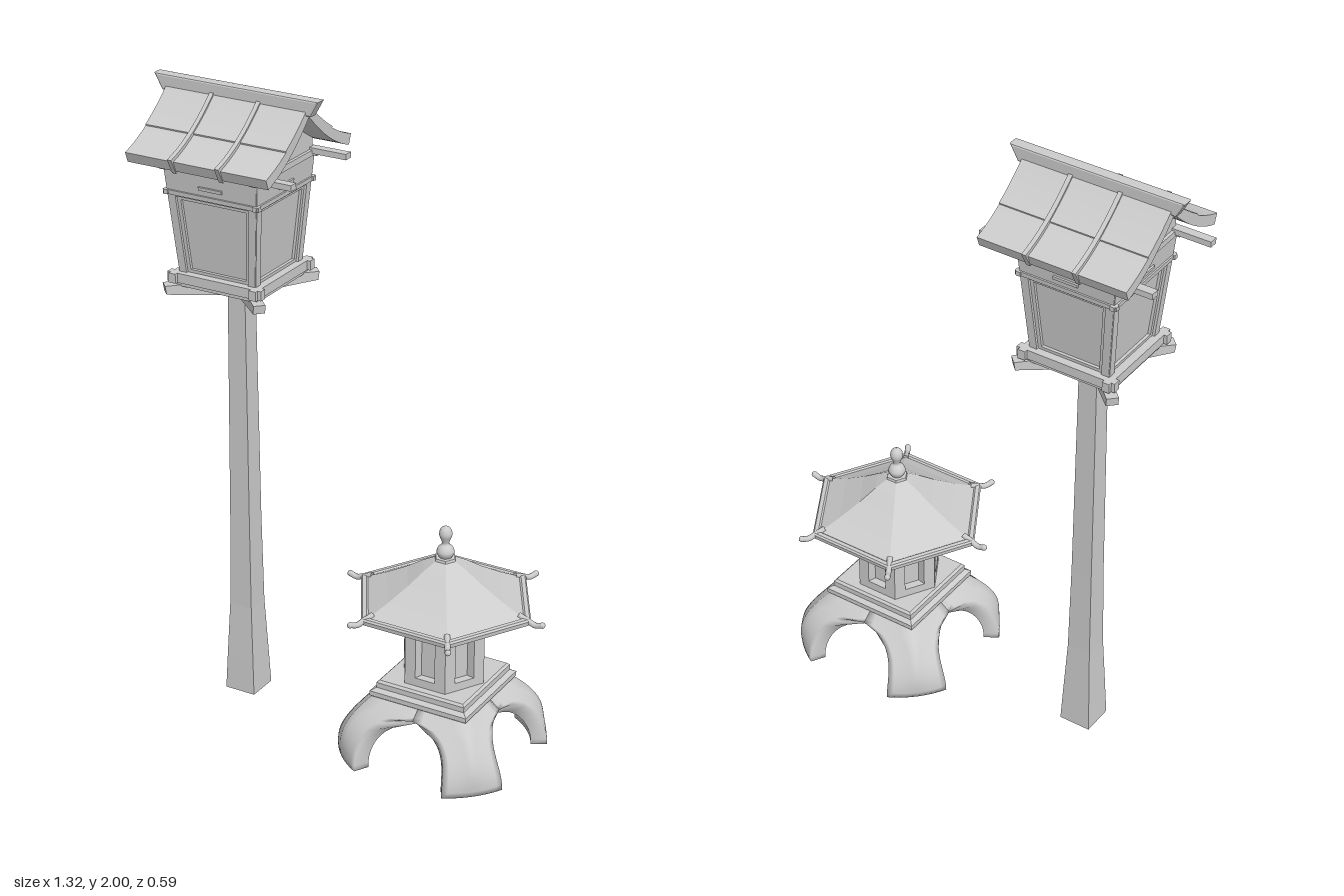
import * as THREE from 'three';

const flat = new THREE.MeshStandardMaterial({ color: 0xcccccc, flatShading: true, side: THREE.DoubleSide });
const smooth = new THREE.MeshStandardMaterial({ color: 0xcccccc, side: THREE.DoubleSide });

function add(parent, name, geo, mat = flat, x = 0, y = 0, z = 0) {
  const m = new THREE.Mesh(geo, mat);
  m.name = name;
  m.position.set(x, y, z);
  parent.add(m);
  return m;
}
const box = (w, h, d) => new THREE.BoxGeometry(w, h, d);
const v2 = (pts) => pts.map(([x, y]) => new THREE.Vector2(x, y));
const extrude = (shape, depth) =>
  new THREE.ExtrudeGeometry(shape, { depth, bevelEnabled: false }).translate(0, 0, -depth / 2);

// Lathe with few sides, turned so that "angle" puts the corners where wanted
const prism = (pts, sides, angle) => new THREE.LatheGeometry(v2(pts), sides).rotateY(angle);
const square = (pts) => prism(pts.map(([h, y]) => [h * Math.SQRT2, y]), 4, Math.PI / 4);
const hex = (pts) => prism(pts, 6, Math.PI / 6);

// Symmetric trapezoid: half widths b (at y0) and t (at y1)
const trapezoid = (b, t, y0, y1) => v2([[-b, y0], [b, y0], [t, y1], [-t, y1]]);
function frame(outer, inner, depth) {
  const s = new THREE.Shape(trapezoid(...outer));
  s.holes.push(new THREE.Path(trapezoid(...inner)));
  return extrude(s, depth);
}

// Height of the sagging gable roof at distance z from the ridge
const roofY = (z) => 1.975 - 0.97 * Math.abs(z) + 1.4 * z * z;
function roofSlab(length, reach, thick, lift, shrink) {
  const top = [], low = [], n = 10;
  for (let i = -n; i <= n; i++) {
    const z = (reach * i) / n;
    top.push([z, roofY(z) + lift]);
    low.unshift([z * shrink, roofY(z) + lift - thick]);
  }
  return extrude(new THREE.Shape(v2([...top, ...low])), length).rotateY(-Math.PI / 2);
}

function postLantern() {
  const g = new THREE.Group();
  g.name = 'postLantern';
  add(g, 'post', square([[0.052, 0], [0.047, 0.12], [0.039, 0.3], [0.035, 0.6], [0.03, 1.4]]));

  // Crossed diagonal brackets under the floor
  const arm = new THREE.Shape(v2([[-0.232, 1.375], [-0.05, 1.355], [0.05, 1.355], [0.232, 1.375], [0.236, 1.402], [-0.236, 1.402]]));
  for (const s of [-1, 1]) add(g, 'bracketArm', extrude(arm, 0.036)).rotation.y = (s * Math.PI) / 4;
  add(g, 'floor', box(0.29, 0.024, 0.29), flat, 0, 1.41, 0);

  // Tapered lamp box, recessed behind its frames
  add(g, 'lampBox', square([[0, 1.41], [0.114, 1.41], [0.146, 1.78], [0, 1.78]]));
  for (let i = 0; i < 4; i++) {
    const turn = new THREE.Group();
    turn.name = 'lampSide';
    turn.rotation.y = (i * Math.PI) / 2;
    g.add(turn);
    const side = new THREE.Group();
    side.name = 'slopedWall';
    side.position.set(0, 1.42, 0.122);
    side.rotation.x = 0.083;
    turn.add(side);
    add(side, 'wallFrame', frame([0.13, 0.16, 0, 0.36], [0.107, 0.126, 0.02, 0.265], 0.02));
    add(side, 'windowFrame', frame([0.108, 0.127, 0.018, 0.267], [0.096, 0.113, 0.03, 0.253], 0.01), flat, 0, 0, -0.003);
    add(side, 'middleRail', box(0.33, 0.014, 0.014), flat, 0, 0.277, 0.008);
    add(side, 'ventSlat', box(0.08, 0.01, 0.01), flat, 0, 0.307, 0.011);
    // Crossing rails with projecting ends
    add(turn, 'bottomRail', box(0.326, 0.03, 0.024), flat, 0, 1.425, 0.14);
    add(turn, 'topRail', box(0.355, 0.018, 0.02), flat, 0, 1.778, 0.155);
  }

  // Gable and curved roof
  const gable = [[-0.16, 1.775]];
  for (let i = -6; i <= 6; i++) gable.push([(0.16 * i) / 6, roofY((0.16 * i) / 6) - 0.02]);
  gable.push([0.16, 1.775]);
  add(g, 'gable', extrude(new THREE.Shape(v2(gable)), 0.31).rotateY(-Math.PI / 2));
  add(g, 'roof', roofSlab(0.48, 0.238, 0.032, 0, 0.95));
  add(g, 'upperRoofLayer', roofSlab(0.48, 0.13, 0.02, 0.005, 0.97));
  for (const s of [-1, 1]) {
    add(g, 'roofRib', roofSlab(0.014, 0.249, 0.048, 0.011, 0.9), flat, s * 0.08);
    add(g, 'purlin', box(0.56, 0.018, 0.028), flat, 0, 1.785, s * 0.154);
  }
  const ridge = new THREE.ExtrudeGeometry(new THREE.Shape(trapezoid(0.25, 0.273, 1.955, 1.993)),
    { depth: 0.024, bevelSize: 0.007, bevelThickness: 0.007, bevelSegments: 2 });
  add(g, 'ridgeBeam', ridge.translate(0, 0, -0.012));
  return g;
}

// One leg of the domed base: horizontal sections between two arch openings
function legGeometry() {
  const rows = 18, n = 10, H = 0.2, pos = [], idx = [], w = 2 * (n + 1);
  const arch = (half, top, y) => (y < top ? half * Math.pow(1 - Math.pow(y / top, 2.4), 0.45) : 0);
  for (let j = 0; j <= rows; j++) {
    const y = H * Math.sin((j / rows) * Math.PI / 2);
    const R = 0.16 + 0.162 * Math.cos((Math.PI / 2) * (y / H));
    const squareness = Math.pow(y / H, 1.5);
    const arc = (r, half, flip) => {
      const a0 = Math.asin(Math.min(0.7, half / r));
      for (let i = 0; i <= n; i++) {
        const f = flip ? 1 - i / n : i / n;
        const a = a0 + f * (Math.PI / 2 - 2 * a0);
        const k = 1 + squareness * (1 / Math.max(Math.cos(a), Math.sin(a)) - 1);
        pos.push(r * k * Math.cos(a), y, r * k * Math.sin(a));
      }
    };
    arc(R, arch(0.15, 0.172, y), false);
    arc(R - 0.05, arch(0.125, 0.145, y), true);
  }
  for (let j = 0; j < rows; j++)
    for (let i = 0; i < w; i++) {
      const a = j * w + i, b = j * w + ((i + 1) % w);
      idx.push(a, a + w, b, b, a + w, b + w);
    }
  // Sole of the foot
  for (let i = 0; i < n; i++) idx.push(i, i + 1, w - 1 - i, i + 1, w - 2 - i, w - 1 - i);
  const geo = new THREE.BufferGeometry();
  geo.setAttribute('position', new THREE.Float32BufferAttribute(pos, 3));
  geo.setIndex(idx);
  geo.computeVertexNormals();
  return geo;
}

function stoneLantern() {
  const g = new THREE.Group();
  g.name = 'stoneLantern';
  const leg = legGeometry();
  for (let i = 0; i < 4; i++) add(g, 'leg', leg, smooth).rotation.y = (i * Math.PI) / 2;
  add(g, 'basePlate', square([[0, 0.193], [0.155, 0.193], [0.165, 0.202], [0.165, 0.217], [0.15, 0.226], [0.15, 0.243], [0.143, 0.25], [0, 0.25]]));

  // Hexagonal fire box: corner posts, rails and recessed panes
  add(g, 'panes', hex([[0.108, 0.25], [0.108, 0.51]]));
  for (const [y0, y1] of [[0.248, 0.277], [0.485, 0.512]])
    add(g, 'fireBoxRail', hex([[0.1, y0], [0.138, y0], [0.138, y1], [0.1, y1]]));
  for (let i = 0; i < 6; i++) {
    const a = (i * Math.PI) / 3;
    const corner = new THREE.Group();
    corner.name = 'corner';
    corner.rotation.y = a;
    g.add(corner);
    // Post bent around the corner of the hexagon
    const c = Math.cos(Math.PI / 3), s = Math.sin(Math.PI / 3), L = 0.036;
    const post = new THREE.Shape(v2([[0.138, 0], [0.138 - L * c, L * s], [0.112 - L * c, L * s * 0.8], [0.11, 0], [0.112 - L * c, -L * s * 0.8], [0.138 - L * c, -L * s]]));
    add(corner, 'cornerPost', extrude(post, 0.25).rotateX(-Math.PI / 2), flat, 0, 0.38, 0);
    // Hip ridge end curling out past the eave
    const path = new THREE.CatmullRomCurve3([[0.25, 0.515], [0.285, 0.502], [0.305, 0.495], [0.328, 0.501]].map(([x, y]) => new THREE.Vector3(x, y, 0)));
    add(corner, 'eaveCurl', new THREE.TubeGeometry(path, 10, 0.009, 8), smooth);
    add(corner, 'curlTip', new THREE.SphereGeometry(0.0095, 10, 8), smooth, 0.328, 0.501, 0);
  }

  // Six-sided roof with a raised rim
  add(g, 'roof', hex([[0.1, 0.515], [0.27, 0.493], [0.289, 0.492], [0.291, 0.505], [0.286, 0.511], [0.272, 0.512], [0.266, 0.508],
    [0.2, 0.54], [0.13, 0.579], [0.075, 0.615], [0.035, 0.637], [0.033, 0.645], [0, 0.647]]));
  const finial = new THREE.SplineCurve(v2([[0.016, 0.64], [0.027, 0.66], [0.022, 0.677], [0.011, 0.688], [0.013, 0.7], [0.02, 0.72], [0.015, 0.739], [0.0005, 0.748]]));
  add(g, 'finial', new THREE.LatheGeometry(finial.getPoints(28), 20), smooth);
  return g;
}

export function createModel() {
  const model = new THREE.Group();
  model.name = 'gardenLanterns';
  const tall = postLantern(), low = stoneLantern();
  tall.position.x = -0.38;
  low.position.x = 0.325;
  model.add(tall, low);
  return model;
}
